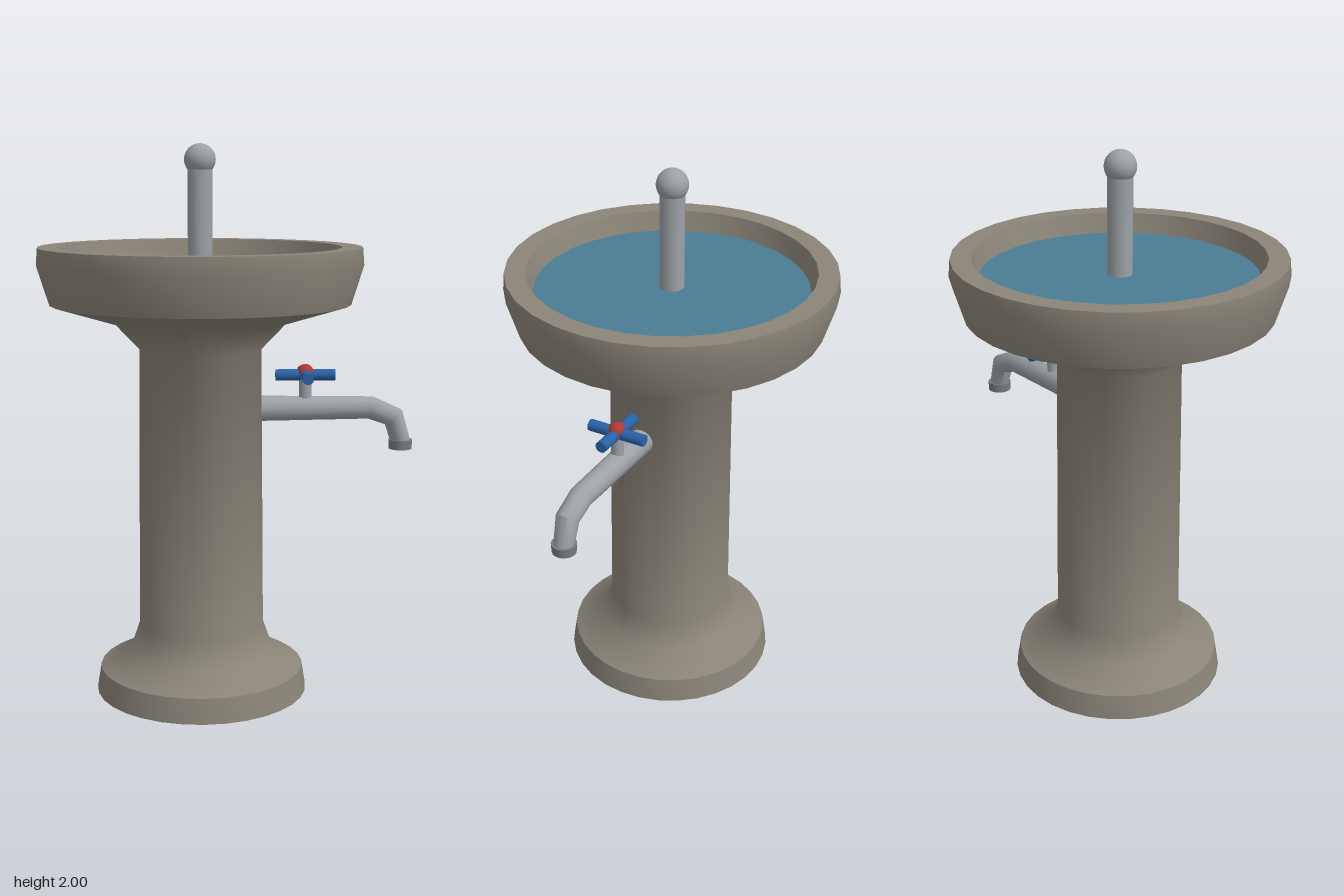
import * as THREE from 'three';
import { toCreasedNormals } from 'three/addons/utils/BufferGeometryUtils.js';

const mat = (color) => new THREE.MeshStandardMaterial({ color });
const CX = -0.1; // axis of the pedestal and bowl

export function createModel() {
  const group = new THREE.Group();
  const stone = mat(0x8a8478), metal = mat(0x9ca1a6), darkMetal = mat(0x777b80);
  const water = mat(0x4a7d94), blue = mat(0x2a62a8), red = mat(0xb23a32);

  const add = (name, geometry, material, x, y, z = 0) => {
    const mesh = new THREE.Mesh(geometry, material);
    mesh.name = name;
    mesh.position.set(x, y, z);
    group.add(mesh);
    return mesh;
  };

  // Pedestal and bowl as one turned stone body, from the foot up over the rim
  const profile = [
    [0, 0], [0.39, 0], [0.375, 0.09], [0.265, 0.15], [0.23, 0.25], [0.22, 1.275],
    [0.31, 1.37], [0.54, 1.44], [0.583, 1.58], [0.578, 1.64], [0.505, 1.64], [0.48, 1.56],
  ].map(([r, y]) => new THREE.Vector2(r, y));
  add('stoneBasin', toCreasedNormals(new THREE.LatheGeometry(profile, 32), 0.8), stone, CX, 0);

  // Water surface
  const surface = new THREE.CircleGeometry(0.483, 32).rotateX(-Math.PI / 2);
  add('waterSurface', surface, water, CX, 1.57);

  // Centre jet pipe with ball top
  add('jetPipe', new THREE.CylinderGeometry(0.044, 0.044, 0.38, 20), metal, CX, 1.74);
  add('jetBall', new THREE.SphereGeometry(0.056, 24, 16), metal, CX, 1.944);

  // Bent spout: rings [x, y, radius, tilt from the x axis]
  add('spout', spoutGeometry([
    [0.1, 1.054, 0.047, 0], [0.52, 1.054, 0.042, -0.2],
    [0.605, 1.018, 0.041, -0.85], [0.632, 0.93, 0.036, -1.45],
  ], 16), metal, 0, 0);
  add('spoutNozzle', new THREE.CylinderGeometry(0.044, 0.042, 0.034, 20), darkMetal, 0.632, 0.918);

  // Tap valve: stem, cross handle and button
  add('valveStem', new THREE.CylinderGeometry(0.023, 0.023, 0.1, 16), metal, 0.28, 1.125);
  for (const axis of ['x', 'z']) {
    const bar = new THREE.CylinderGeometry(0.021, 0.021, 0.216, 12);
    if (axis === 'x') bar.rotateZ(Math.PI / 2);
    else bar.rotateX(Math.PI / 2);
    add('handleBar', bar, blue, 0.28, 1.176);
  }
  add('handleButton', new THREE.SphereGeometry(0.03, 16, 12), red, 0.28, 1.186);

  return group;
}

// Lofts circular sections along a path in the xy plane and caps both ends
function spoutGeometry(rings, sides) {
  const positions = [], index = [];
  for (const [x, y, r, tilt] of rings) {
    for (let i = 0; i < sides; i++) {
      const a = (i / sides) * Math.PI * 2, up = Math.cos(a) * r;
      positions.push(x - Math.sin(tilt) * up, y + Math.cos(tilt) * up, Math.sin(a) * r);
    }
  }
  for (let k = 0; k < rings.length - 1; k++) {
    for (let i = 0; i < sides; i++) {
      const j = (i + 1) % sides;
      const a = k * sides + i, b = k * sides + j;
      index.push(a, b, a + sides, b, b + sides, a + sides);
    }
  }
  const last = (rings.length - 1) * sides;
  for (let i = 1; i < sides - 1; i++) {
    index.push(0, i + 1, i, last, last + i, last + i + 1);
  }
  const g = new THREE.BufferGeometry();
  g.setAttribute('position', new THREE.Float32BufferAttribute(positions, 3));
  g.setIndex(index);
  return toCreasedNormals(g, 0.8);
}
